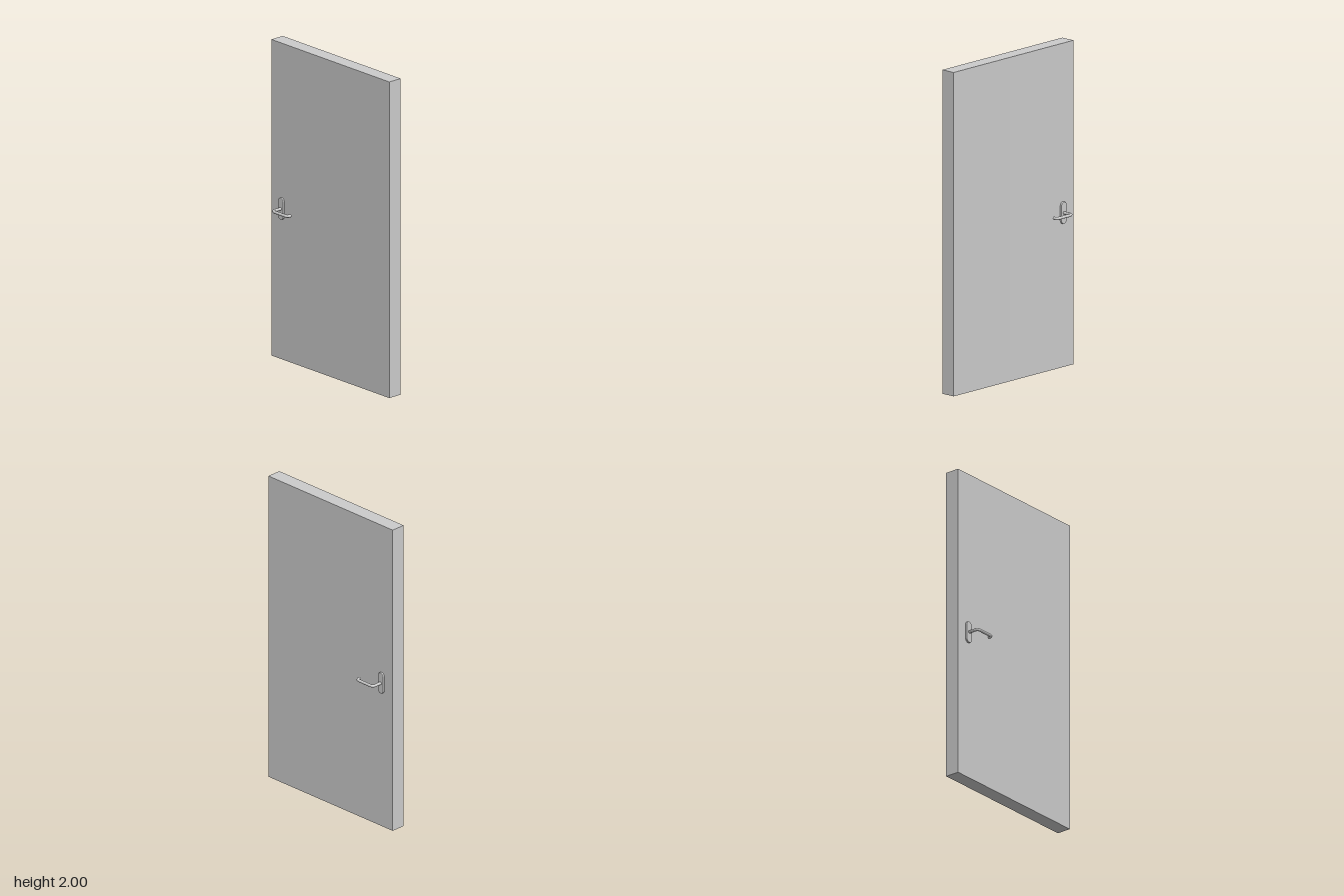
import * as THREE from 'three';

const material = new THREE.MeshStandardMaterial({ color: 0xcccccc });

function addMesh(parent, name, geometry) {
  const mesh = new THREE.Mesh(geometry, material);
  mesh.name = name;
  parent.add(mesh);
  return mesh;
}

const DOOR = { width: 1.046, height: 2, depth: 0.092 };
const TUBE_RADIUS = 0.0092;

// Upright stadium with a softened rim
function plateGeometry() {
  const bevel = 0.003, r = 0.0235 - bevel, h = 0.045;
  const shape = new THREE.Shape();
  shape.absarc(0, h, r, 0, Math.PI, false);
  shape.absarc(0, -h, r, Math.PI, Math.PI * 2, false);
  shape.closePath();
  return new THREE.ExtrudeGeometry(shape, {
    depth: 0.008, bevelEnabled: true, bevelSize: bevel, bevelThickness: bevel,
    bevelSegments: 2, curveSegments: 16,
  });
}

// Bent lever path: out of the door, along it, and back towards it
function leverPath() {
  const v = (x, z) => new THREE.Vector3(x, 0, z);
  const start = v(0, 0.045), end = v(0.133, 0.096);
  const a1 = v(0, 0.1), c1 = v(0, 0.122), a2 = v(0.024, 0.122);
  const b1 = v(0.111, 0.122), c2 = v(0.133, 0.122), b2 = v(0.133, 0.102);
  const path = new THREE.CurvePath();
  path.add(new THREE.LineCurve3(start, a1));
  path.add(new THREE.QuadraticBezierCurve3(a1, c1, a2));
  path.add(new THREE.LineCurve3(a2, b1));
  path.add(new THREE.QuadraticBezierCurve3(b1, c2, b2));
  path.add(new THREE.LineCurve3(b2, end));
  return path;
}

function createHandle(name) {
  const handle = new THREE.Group();
  handle.name = name;
  const plate = addMesh(handle, 'handlePlate', plateGeometry());
  plate.position.z = DOOR.depth / 2;
  addMesh(handle, 'lever', new THREE.TubeGeometry(leverPath(), 64, TUBE_RADIUS, 16));
  // Flat tip facing the door
  const tip = addMesh(handle, 'leverTip', new THREE.CircleGeometry(TUBE_RADIUS, 16));
  tip.position.set(0.133, 0, 0.096);
  tip.rotation.x = Math.PI;
  return handle;
}

export function createModel() {
  const model = new THREE.Group();
  model.name = 'door';

  const panel = addMesh(model, 'doorPanel',
    new THREE.BoxGeometry(DOOR.width, DOOR.height, DOOR.depth));
  panel.position.y = DOOR.height / 2;

  // One handle per face; the back one is turned about the x axis
  ['frontHandle', 'backHandle'].forEach((name, i) => {
    const handle = createHandle(name);
    handle.position.set(-0.43, 0.954, 0);
    handle.rotation.x = i * Math.PI;
    model.add(handle);
  });
  return model;
}
